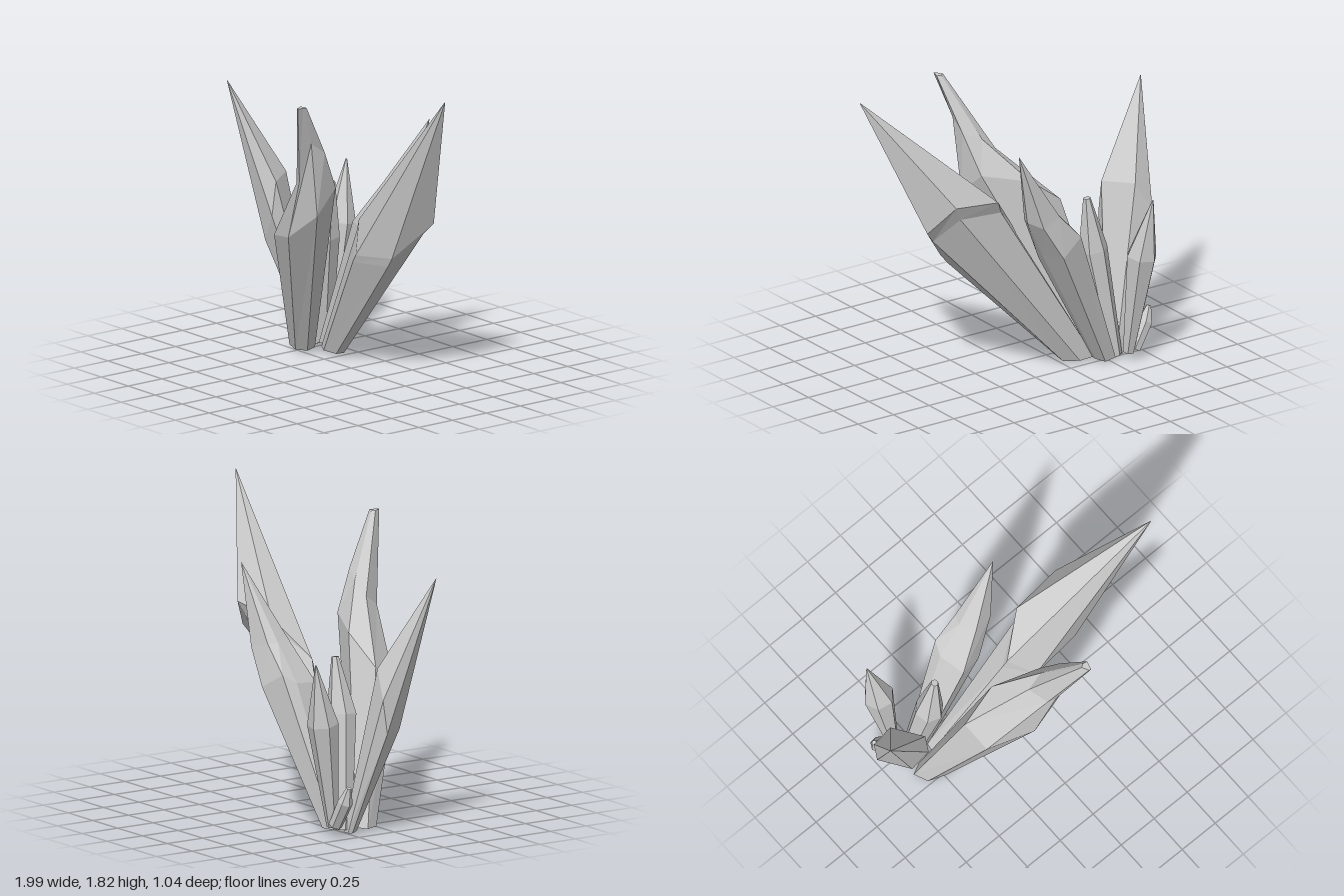
import * as THREE from 'three';

const V = (x, y, z) => new THREE.Vector3(x, y, z);
const centre = (ring) => ring.reduce((s, p) => s.add(p), V(0, 0, 0)).divideScalar(ring.length);

// Six-sided ring from three corners, the others mirrored through its centre
const hex = (c, ...corners) => [...corners, ...corners.map((p) => c.clone().multiplyScalar(2).sub(p))];

// Level end ring: a ring slid along its shaft to the end point, then scaled
function endRing(ring, end, scale) {
  const c = centre(ring), axis = c.clone().sub(end);
  return ring.map((p) => {
    const d = p.clone().sub(c);
    d.addScaledVector(axis, -d.y / axis.y);
    return d.multiplyScalar(scale).add(end);
  });
}

// Regular ring across a shaft
function roundRing(at, axis, r, turn) {
  const q = new THREE.Quaternion().setFromUnitVectors(V(0, 1, 0), axis.clone().normalize());
  return Array.from({ length: 6 }, (_, i) => {
    const a = turn + i * Math.PI / 3;
    return V(Math.cos(a) * r, 0, Math.sin(a) * r).applyQuaternion(q).add(at);
  });
}

// Faceted skin over a stack of six-sided rings, capped at both ends
function loft(rings) {
  const tris = [], n = 6;
  for (let k = 0; k + 1 < rings.length; k++) {
    for (let i = 0; i < n; i++) {
      const j = (i + 1) % n, a = rings[k], b = rings[k + 1];
      tris.push([a[i], b[i], b[j]], [a[i], b[j], a[j]]);
    }
  }
  const first = rings[0], last = rings[rings.length - 1];
  const c0 = centre(first), c1 = centre(last);
  for (let i = 0; i < n; i++) {
    const j = (i + 1) % n;
    tris.push([c0, first[i], first[j]], [c1, last[j], last[i]]);
  }
  // Face outwards whichever way round the rings were listed
  const volume = tris.reduce((s, [a, b, c]) => s + a.clone().sub(c0).dot(b.clone().sub(c0).cross(c.clone().sub(c0))), 0);
  const pts = tris.flatMap(([a, b, c]) => (volume < 0 ? [a, c, b] : [a, b, c]));
  const geo = new THREE.BufferGeometry().setFromPoints(pts);
  geo.computeVertexNormals();
  return geo;
}

export function createModel() {
  const group = new THREE.Group();
  const material = new THREE.MeshStandardMaterial({ color: 0xcccccc, flatShading: true });
  const add = (name, rings) => {
    const mesh = new THREE.Mesh(loft(rings), material);
    mesh.name = name;
    group.add(mesh);
  };
  // Large crystal: rings lowest first, running to a base and a tip
  const large = (name, base, baseScale, tip, tipScale, ...rings) =>
    add(name, [endRing(rings[0], base, baseScale), ...rings, endRing(rings[rings.length - 1], tip, tipScale)]);
  // Small crystal: regular rings at base, widest point and tip
  const small = (name, turn, ...stops) => {
    const axis = stops[2][0].clone().sub(stops[0][0]);
    add(name, stops.map(([at, r]) => roundRing(at, axis, r, turn)));
  };

  // Tall crystal with a slight step under its head
  large('tallRightCrystal', V(-0.36, 0.02, -0.15), 0.38, V(0.99, 1.83, 0.1), 0.01,
    hex(V(0.29, 0.88, -0.055), V(-0.01, 0.83, -0.05), V(0.1, 0.68, 0.07), V(0.4, 0.71, 0.05)),
    hex(V(0.335, 0.95, -0.065), V(0.02, 0.9, -0.04), V(0.14, 0.73, 0.08), V(0.45, 0.77, 0.06)));

  // Front crystal with a bent, blunt head
  large('frontCrystal', V(-0.53, 0.02, -0.06), 0.42, V(0.165, 1.69, 0.5), 0.3,
    hex(V(-0.155, 0.955, 0.22), V(-0.39, 0.77, 0.26), V(-0.12, 0.83, 0.37), V(0.11, 1.0, 0.34)),
    [V(-0.03, 1.18, 0.38), V(0.02, 1.2, 0.4), V(0.13, 1.45, 0.4), V(0.13, 1.38, 0.3), V(0.02, 1.33, 0.26), V(-0.08, 1.25, 0.27)]);

  large('leftCrystal', V(-0.59, 0.01, -0.2), 0.32, V(-1, 1.54, 0.12), 0.01,
    hex(V(-0.77, 0.81, -0.055), V(-0.88, 0.63, -0.14), V(-0.76, 0.62, 0.03), V(-0.66, 0.79, 0.06)));

  large('backRightCrystal', V(-0.49, 0.02, -0.24), 0.45, V(0.22, 1.48, -0.4), 0.01,
    hex(V(-0.13, 0.81, -0.31), V(-0.24, 0.84, -0.33), V(-0.2, 0.82, -0.17), V(-0.05, 0.73, -0.21)),
    hex(V(0.02, 1.04, -0.345), V(-0.08, 1.05, -0.35), V(-0.03, 1.07, -0.255), V(0.1, 1.03, -0.28)));

  // Small crystals between and behind the large ones
  small('middleCrystal', 0.3, [V(-0.56, 0.02, -0.23), 0.055], [V(-0.46, 0.68, -0.17), 0.088], [V(-0.41, 1.01, -0.18), 0.022]);
  small('backCrystal', 0.2, [V(-0.6, 0.06, -0.33), 0.035], [V(-0.63, 0.68, -0.42), 0.092], [V(-0.66, 1.04, -0.49), 0.004]);
  small('shardCrystal', 0, [V(-0.635, 0.07, -0.335), 0.04], [V(-0.72, 0.22, -0.325), 0.045], [V(-0.75, 0.31, -0.32), 0.015]);
  return group;
}
